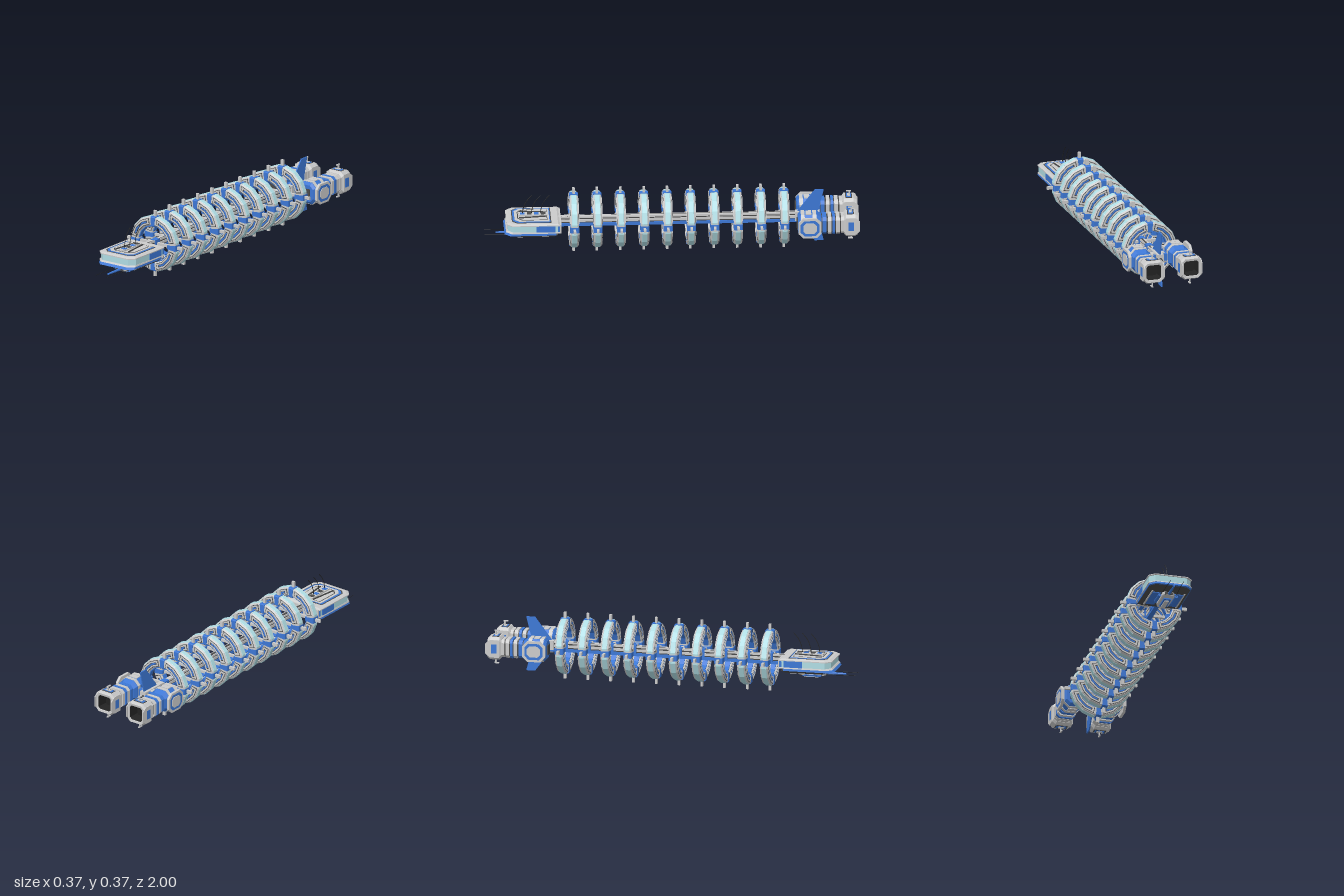
import * as THREE from 'three';
import { mergeGeometries } from 'three/addons/utils/BufferGeometryUtils.js';

const mat = (color) => new THREE.MeshStandardMaterial({ color, flatShading: true, side: THREE.DoubleSide });
const grey = mat(0xcccccc), blue = mat(0x3d78d6), cyan = mat(0xb0dde4), dark = mat(0x4a4a4a), black = mat(0x222222);
const AXIS = 0.183; // height of the spine

function add(parent, name, geo, material, x = 0, y = 0, z = 0) {
  const m = new THREE.Mesh(geo, material);
  m.name = name;
  m.position.set(x, y, z);
  parent.add(m);
  return m;
}
const box = (p, name, m, w, h, d, x, y, z) => add(p, name, new THREE.BoxGeometry(w, h, d), m, x, y, z);

// Skin a row of equal-length convex sections, flat shaded and closed at both ends
function loft(sections, capEnd = true) {
  const pos = [], n = sections[0].length;
  const tri = (a, b, c) => pos.push(...a, ...b, ...c);
  for (let s = 0; s < sections.length - 1; s++) for (let i = 0; i < n; i++) {
    const j = (i + 1) % n, A = sections[s], B = sections[s + 1];
    tri(A[i], A[j], B[j]);
    tri(A[i], B[j], B[i]);
  }
  const F = sections[0], L = sections[sections.length - 1];
  for (let i = 1; i < n - 1; i++) {
    tri(F[0], F[i + 1], F[i]);
    if (capEnd) tri(L[0], L[i], L[i + 1]);
  }
  // turn the faces outwards when the enclosed volume comes out negative
  let vol = 0;
  const v = (k) => new THREE.Vector3(pos[k], pos[k + 1], pos[k + 2]);
  const c = new THREE.Vector3(...F[0]);
  for (let k = 0; k < pos.length; k += 9) vol += v(k).sub(c).dot(v(k + 3).sub(c).cross(v(k + 6).sub(c)));
  if (vol < 0) for (let k = 0; k < pos.length; k += 9) for (let e = 0; e < 3; e++)
    [pos[k + 3 + e], pos[k + 6 + e]] = [pos[k + 6 + e], pos[k + 3 + e]];
  const g = new THREE.BufferGeometry();
  g.setAttribute('position', new THREE.Float32BufferAttribute(pos, 3));
  g.computeVertexNormals();
  return g;
}

// Rectangle with cut corners, half sizes w and h
const octagon = (w, h, c) => [[w, h - c], [w - c, h], [c - w, h], [-w, h - c], [-w, c - h], [c - w, -h], [w - c, -h], [w, c - h]];
// Rows of [z, halfWidth, halfHeight, cut] along z
const zLoft = (rows, cap) => loft(rows.map(([z, w, h, c]) => octagon(w, h, c).map(([x, y]) => [x, y, z])), cap);
// Rows of [y, halfWidth, zBack, zFront, cut]: deck outlines with cut front corners
const deck = (rows) => loft(rows.map(([y, w, b, f, c]) =>
  [[w, b], [w, f - c], [w - c, f], [c - w, f], [-w, f - c], [-w, b]].map(([x, z]) => [x, y, z])));

// Part of a 16-sided ring between two angles, with cut edges
function sector(a0, a1, r0, r1, z0, z1, c = 0.0005) {
  const angles = [a0];
  for (let a = 11.25; a < 360; a += 22.5) if (a > a0 + 0.01 && a < a1 - 0.01) angles.push(a);
  angles.push(a1);
  const profile = octagon((r1 - r0) / 2, (z1 - z0) / 2, c).map(([r, z]) => [r + (r0 + r1) / 2, z + (z0 + z1) / 2]);
  return loft(angles.map((a) => {
    const off = a - Math.round(a / 22.5) * 22.5, t = THREE.MathUtils.degToRad(a);
    const k = Math.cos(Math.PI / 16) / Math.cos(THREE.MathUtils.degToRad(off));
    return profile.map(([r, z]) => [r * k * Math.cos(t), r * k * Math.sin(t), z]);
  }));
}

function ringParts() {
  const shell = [], trim = [], band = [], seam = [];
  for (let q = 0; q < 4; q++) {
    const put = (list, ...args) => list.push(sector(...args).rotateZ(q * Math.PI / 2));
    put(shell, 6, 84, 0.102, 0.151, -0.022, 0.022, 0.006);
    put(trim, -6, 6, 0.097, 0.1535, -0.024, 0.024, 0.004);
    put(trim, 11, 79, 0.097, 0.104, -0.014, 0.014);
    put(band, 8, 82, 0.148, 0.1535, -0.014, 0.014, 0.002);
    for (const s of [-1, 1]) {
      const face = (list, a, b, r0, r1, d) => put(list, a, b, r0, r1, Math.min(s * 0.018, s * d), Math.max(s * 0.018, s * d));
      face(seam, 11, 79, 0.108, 0.143, 0.0228);
      face(shell, 13, 77, 0.111, 0.118, 0.0255);
      face(shell, 13, 77, 0.132, 0.14, 0.0255);
      face(shell, 13, 17, 0.118, 0.132, 0.0255);
      face(shell, 73, 77, 0.118, 0.132, 0.0255);
      face(trim, 20, 70, 0.1205, 0.1295, 0.024);
    }
    const pin = new THREE.BoxGeometry(0.032, 0.016, 0.013).toNonIndexed();
    pin.deleteAttribute('uv');
    shell.push(pin.translate(0.167, 0, 0).rotateZ(q * Math.PI / 2));
  }
  return [['ringShell', shell, grey], ['ringTrim', trim, blue], ['ringBand', band, cyan], ['ringSeam', seam, dark]]
    .map(([n, list, m]) => [n, mergeGeometries(list), m]);
}

function wire(parent, name, points, r = 0.0013) {
  const curve = new THREE.CatmullRomCurve3(points.map((p) => new THREE.Vector3(...p)));
  return add(parent, name, new THREE.TubeGeometry(curve, 10, r, 5), black);
}

// Plate drawn in (z, y), with its thickness along x
function sidePlate(points, thick) {
  const s = new THREE.Shape(points.map(([z, y]) => new THREE.Vector2(-z, y)));
  return new THREE.ExtrudeGeometry(s, { depth: thick, bevelEnabled: false }).translate(0, 0, -thick / 2).rotateY(Math.PI / 2);
}

function makeHead() {
  const g = new THREE.Group();
  g.name = 'head';
  add(g, 'lowerHull', deck([[0.13, 0.1, 0.63, 0.85, 0.03], [0.145, 0.116, 0.61, 0.885, 0.03]]), dark);
  add(g, 'noseLip', deck([[0.143, 0.117, 0.62, 0.895, 0.03], [0.157, 0.115, 0.62, 0.885, 0.03]]), blue);
  add(g, 'windowSill', deck([[0.156, 0.12, 0.6, 0.887, 0.03], [0.164, 0.118, 0.6, 0.88, 0.03]]), grey);
  add(g, 'window', deck([[0.163, 0.116, 0.61, 0.877, 0.03], [0.2, 0.116, 0.61, 0.877, 0.03]]), cyan);
  add(g, 'roof', deck([[0.198, 0.12, 0.6, 0.885, 0.03], [0.203, 0.12, 0.6, 0.885, 0.03], [0.209, 0.11, 0.61, 0.87, 0.028]]), grey);
  // stepped roof panels
  [[0.21, 0.096, 0.645, 0.855, dark], [0.211, 0.091, 0.65, 0.85, blue], [0.213, 0.081, 0.655, 0.84, grey],
    [0.2135, 0.068, 0.665, 0.825, dark], [0.2145, 0.064, 0.668, 0.82, grey]].forEach(([y, w, b, f, m]) =>
    add(g, 'roofPanel', deck([[0.205, w, b, f, 0.025], [y, w, b, f, 0.025]]), m));
  box(g, 'bridge', grey, 0.036, 0.012, 0.155, 0, 0.216, 0.74);
  for (let i = 0; i < 4; i++) box(g, 'hatch', i % 2 ? blue : dark, 0.026, 0.004, 0.024, 0, 0.222, 0.685 + i * 0.037);
  for (const s of [-1, 1]) {
    box(g, 'bridgeRail', dark, 0.006, 0.008, 0.15, s * 0.034, 0.216, 0.74).rotation.y = s * 0.12;
    box(g, 'sidePanel', blue, 0.006, 0.036, 0.1, s * 0.116, 0.181, 0.675);
    box(g, 'bellyPanel', blue, 0.05, 0.006, 0.15, s * 0.06, 0.129, 0.735);
    box(g, 'bellyFrame', grey, 0.008, 0.008, 0.18, s * 0.089, 0.13, 0.735);
    // side guns under the belly
    const gun = new THREE.CylinderGeometry(0.009, 0.009, 0.09, 8).rotateX(Math.PI / 2);
    add(g, 'sideGun', gun, blue, s * 0.046, 0.114, 0.77);
    wire(g, 'gunWhisker', [[s * 0.046, 0.114, 0.8], [s * 0.038, 0.117, 0.9], [s * 0.036, 0.118, 1]]);
  }
  box(g, 'rearBlock', grey, 0.224, 0.05, 0.02, 0, 0.178, 0.602);
  box(g, 'rearBand', blue, 0.232, 0.036, 0.012, 0, 0.178, 0.606);
  add(g, 'turretBase', zLoft([[0.67, 0.02, 0.008, 0.004], [0.7, 0.034, 0.013, 0.005], [0.82, 0.034, 0.013, 0.005], [0.835, 0.026, 0.009, 0.004]]), grey, 0, 0.117);
  box(g, 'turretSlot', dark, 0.048, 0.012, 0.01, 0, 0.116, 0.834);
  box(g, 'turretBelly', blue, 0.04, 0.012, 0.1, 0, 0.102, 0.755);
  box(g, 'turretKeel', grey, 0.024, 0.008, 0.08, 0, 0.095, 0.75);
  add(g, 'mainGun', new THREE.CylinderGeometry(0.005, 0.008, 0.12, 8).rotateX(Math.PI / 2), blue, 0, 0.116, 0.88);
  for (let i = 0; i < 3; i++) {
    const z = 0.797 - i * 0.048;
    wire(g, 'antenna', [[0, 0.215, z], [0, 0.255, z - 0.006], [0, 0.295, z - 0.023], [0, 0.327, z - 0.05]], 0.0018);
  }
  return g;
}

function makeEngine(s) {
  const g = new THREE.Group();
  g.name = s > 0 ? 'leftEngine' : 'rightEngine';
  g.position.set(s * 0.106, AXIS, 0);
  add(g, 'enginePod', zLoft([[-0.67, 0.044, 0.046, 0.02], [-0.682, 0.055, 0.06, 0.026], [-0.77, 0.055, 0.06, 0.026], [-0.795, 0.046, 0.046, 0.02]]), blue);
  for (const z of [-0.695, -0.757]) add(g, 'podBand', zLoft([[z - 0.01, 0.057, 0.063, 0.027], [z + 0.01, 0.057, 0.063, 0.027]]), grey);
  box(g, 'podCap', grey, 0.05, 0.128, 0.03, 0, 0, -0.726);
  box(g, 'podIntake', dark, 0.05, 0.05, 0.008, 0, 0, -0.668);
  // layered outer plate
  [[0.062, 0.056, 0.066, grey], [0.05, 0.044, 0.071, blue], [0.036, 0.03, 0.074, grey]].forEach(([w, h, x, m]) =>
    add(g, 'outerPlate', sidePlate(octagon(w, h, w * 0.42), 0.012), m, s * x, 0, -0.732).scale.x = x > 0.07 ? 0.4 : 1.2);
  add(g, 'engineNeck', zLoft([[-0.79, 0.043, 0.042, 0.014], [-0.925, 0.043, 0.042, 0.014]]), dark);
  [[-0.81, 0.022, 0.048, blue], [-0.838, 0.018, 0.05, grey], [-0.86, 0.014, 0.051, blue],
    [-0.882, 0.02, 0.05, grey], [-0.907, 0.016, 0.048, grey]].forEach(([z, d, r, m]) =>
    add(g, 'neckRib', zLoft([[z - d / 2, r, r, 0.016], [z + d / 2, r, r, 0.016]]), m));
  // hollow nozzle
  add(g, 'nozzle', zLoft([[-0.915, 0.048, 0.05, 0.016], [-0.925, 0.056, 0.062, 0.018], [-0.975, 0.056, 0.062, 0.018],
    [-0.99, 0.053, 0.054, 0.016], [-0.988, 0.042, 0.042, 0.01], [-0.93, 0.036, 0.036, 0.008]]), grey);
  add(g, 'nozzleLining', zLoft([[-0.931, 0.034, 0.034, 0.008], [-0.986, 0.04, 0.04, 0.01]], false), black);
  const cheek = [[-0.925, 0.048], [-0.975, 0.048], [-1, 0.028], [-1, -0.028], [-0.975, -0.048], [-0.925, -0.048]];
  for (const e of [-1, 1]) {
    add(g, 'nozzleCheek', sidePlate(cheek, 0.005), grey, e * 0.0555);
    box(g, 'cheekInset', blue, 0.003, 0.05, 0.03, e * 0.0575, 0, -0.952);
    box(g, 'nozzleInset', dark, 0.066, 0.003, 0.036, 0, e * 0.0622, -0.95);
    box(g, 'nozzlePanel', blue, 0.056, 0.004, 0.026, 0, e * 0.063, -0.95);
    box(g, 'nozzleHub', grey, 0.032, 0.008, 0.014, 0, e * 0.064, -0.95);
    box(g, 'nozzleMast', grey, 0.006, 0.028, 0.008, 0, e * 0.078, -0.955);
    box(g, 'mastHead', grey, 0.008, 0.006, 0.026, 0, e * 0.089, -0.95);
  }
  return g;
}

export function createModel() {
  const model = new THREE.Group();
  model.name = 'spacecraft';
  model.add(makeHead(), makeEngine(1), makeEngine(-1));

  // spine rails
  [[0.026, 0.01, 0.2, grey], [0.016, 0.05, AXIS - 0.003, dark], [0.024, 0.014, 0.18, grey], [0.026, 0.017, 0.158, blue]]
    .forEach(([w, h, y, m]) => box(model, 'spine', m, w, h, 1.29, 0, y, -0.03));

  // row of rings
  const parts = ringParts();
  for (let i = 0; i < 10; i++) {
    const ring = new THREE.Group();
    ring.name = 'ring';
    ring.position.set(0, AXIS + 0.002, 0.523 - i * 0.1248);
    parts.forEach(([n, geo, m]) => add(ring, n, geo, m));
    box(ring, 'ringHub', blue, 0.034, 0.046, 0.036, 0, 0, 0);
    box(ring, 'ringSpoke', grey, 0.2, 0.014, 0.014, 0, 0, 0);
    model.add(ring);
  }

  // tail: block, cross beam and two fins
  box(model, 'tailBlock', grey, 0.036, 0.05, 0.13, 0, AXIS, -0.725);
  box(model, 'crossBeam', blue, 0.12, 0.036, 0.06, 0, AXIS, -0.735);
  box(model, 'beamCollar', grey, 0.076, 0.044, 0.03, 0, AXIS, -0.735);
  for (const e of [-1, 1]) {
    const fin = [[-0.665, 0.015], [-0.765, 0.148], [-0.813, 0.148], [-0.78, 0.015]].map(([z, y]) => [z, y * e]);
    add(model, 'tailFin', sidePlate(fin, 0.007), blue, 0, AXIS);
  }
  add(model, 'tailSpike', new THREE.ConeGeometry(0.01, 0.06, 6).rotateX(-Math.PI / 2), dark, 0, AXIS, -0.81);
  return model;
}
